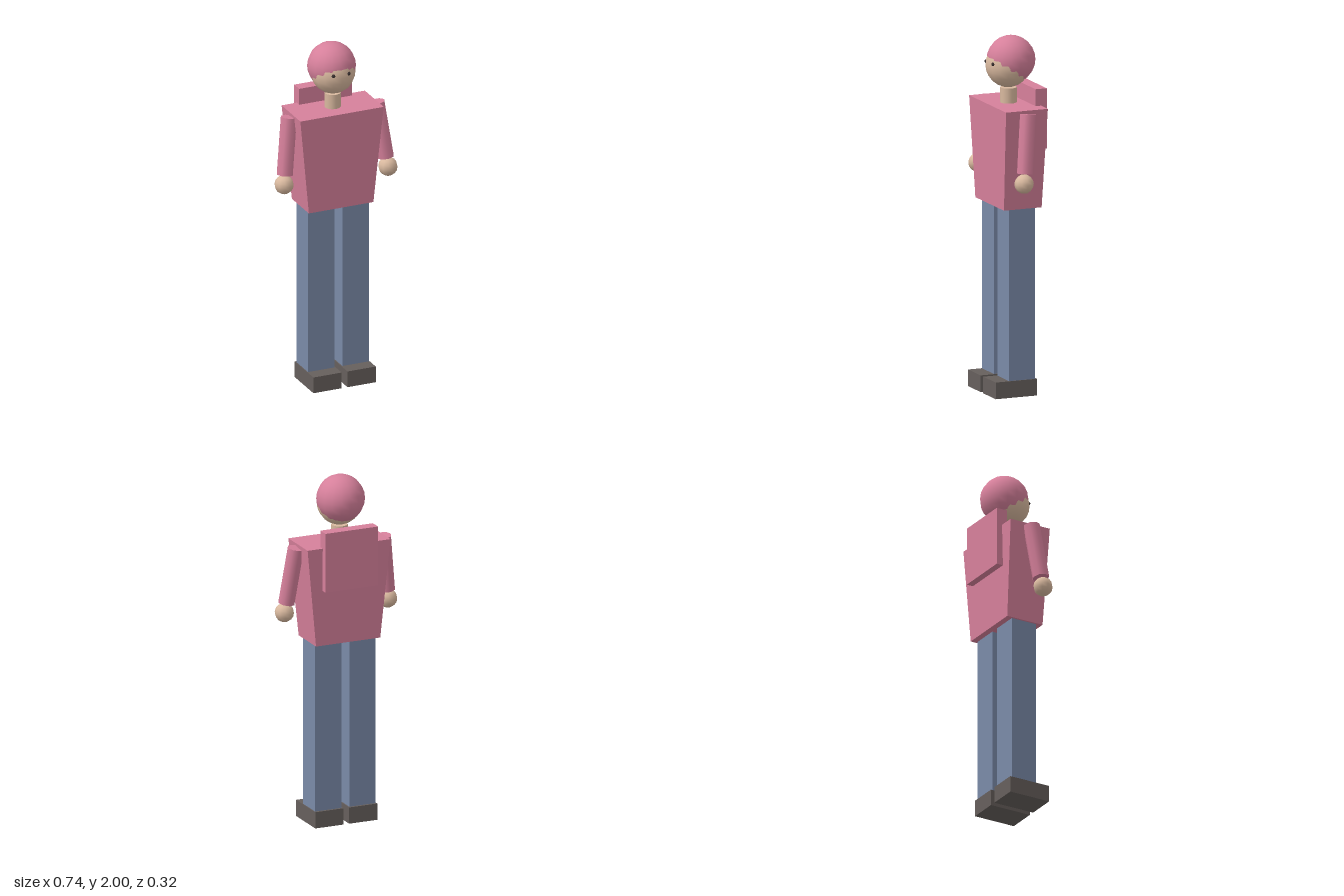
import * as THREE from 'three';

function mat(name, color) {
  const m = new THREE.MeshStandardMaterial({ color });
  m.name = name;
  return m;
}

export function createModel() {
  const pink = mat('pink', 0xd6809b);
  const skin = mat('skin', 0xd9b99f);
  const denim = mat('denim', 0x7a8aa8);
  const shoeGrey = mat('shoe grey', 0x665f5c);
  const dark = mat('eye dark', 0x3a3030);

  const model = new THREE.Group();
  model.name = 'figure';
  const add = (name, geometry, material, x, y, z) => {
    const mesh = new THREE.Mesh(geometry, material);
    mesh.name = name;
    mesh.position.set(x, y, z);
    model.add(mesh);
    return mesh;
  };

  // Torso: a box narrowed towards the waist
  const torso = new THREE.BoxGeometry(0.504, 0.565, 0.252);
  const p = torso.attributes.position;
  for (let i = 0; i < p.count; i++) {
    if (p.getY(i) < 0) {
      p.setX(i, p.getX(i) * 0.775);
      p.setZ(i, p.getZ(i) * 0.9);
    }
  }
  torso.computeVertexNormals();
  add('torso', torso, pink, 0, 1.3425, 0);

  // Hood hanging on the back
  add('hood', new THREE.BoxGeometry(0.32, 0.34, 0.067), pink, 0, 1.55, -0.1265);

  // Neck, head and hair cap
  add('neck', new THREE.CylinderGeometry(0.046, 0.046, 0.11, 12), skin, 0, 1.655, 0);
  add('head', new THREE.SphereGeometry(0.125, 16, 12), skin, 0, 1.837, 0.003);
  add('hair', new THREE.SphereGeometry(0.135, 16, 12), pink, 0, 1.865, -0.015);

  for (const [side, s] of [['left', 1], ['right', -1]]) {
    add(side + 'Eye', new THREE.SphereGeometry(0.011, 8, 6), dark, s * 0.046, 1.856, 0.113);

    // Arm slanting outward and forward to the hand
    const shoulder = new THREE.Vector3(s * 0.265, 1.607, 0.0);
    const wrist = new THREE.Vector3(s * 0.306, 1.283, 0.036);
    const dir = shoulder.clone().sub(wrist);
    const mid = shoulder.clone().add(wrist).multiplyScalar(0.5);
    const arm = add(side + 'Arm', new THREE.CylinderGeometry(0.047, 0.047, dir.length(), 8),
      pink, mid.x, mid.y, mid.z);
    arm.quaternion.setFromUnitVectors(new THREE.Vector3(0, 1, 0), dir.normalize());
    add(side + 'Hand', new THREE.SphereGeometry(0.054, 10, 8), skin, s * 0.314, 1.228, 0.045);

    // Leg and shoe
    add(side + 'Leg', new THREE.BoxGeometry(0.16, 0.97, 0.155), denim, s * 0.104, 0.577, 0);
    add(side + 'Shoe', new THREE.BoxGeometry(0.171, 0.094, 0.25), shoeGrey, s * 0.103, 0.047, 0.035);
  }
  return model;
}
